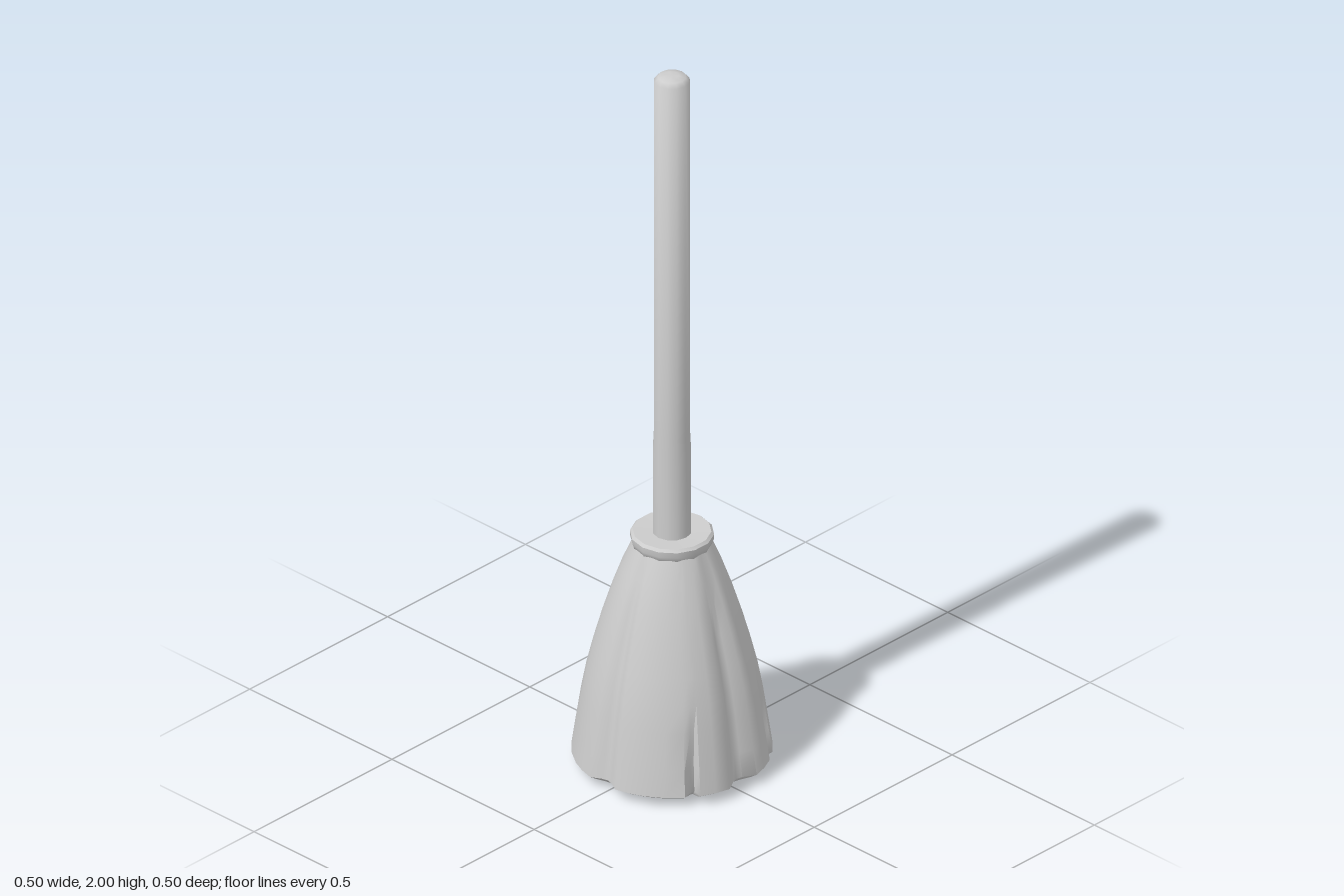
import * as THREE from 'three';
import { toCreasedNormals } from 'three/addons/utils/BufferGeometryUtils.js';

const grey = new THREE.MeshStandardMaterial({ color: 0xcccccc });
grey.name = 'light grey';

function part(name, geometry, crease = 0.8) {
  const mesh = new THREE.Mesh(toCreasedNormals(geometry, crease), grey);
  mesh.name = name;
  return mesh;
}

function lathe(points, sides) {
  return new THREE.LatheGeometry(points.map(([r, y]) => new THREE.Vector2(r, y)), sides);
}

// One quarter of the bristle outline: angle, depth of long groove, depth of short slit
const quarter = [
  [0, 0.11, 0], [4, 0.09, 0], [11, 0, 0], [20, 0, 0], [29.5, 0, 0], [31.5, 0, 0.11],
  [34, 0, 0.09], [38.5, 0, 0], [50, 0, 0], [62, 0, 0], [71, 0, 0], [80, 0, 0], [86, 0.07, 0],
];

// The quarter mirrored into a full turn
function outline() {
  const half = [
    ...quarter,
    [90, 0.09, 0],
    ...quarter.map(([a, g, s]) => [180 - a, g, s]).reverse(),
  ];
  const back = half.slice(1, -1).map(([a, g, s]) => [360 - a, g, s]).reverse();
  return [...half, ...back];
}

// Surface from rings of [radius, height, groove amount, slit amount], first ring lowest
function pleated(rings) {
  const around = outline();
  const n = around.length;
  const positions = [];
  const index = [];
  for (const [radius, y, groove, slit] of rings) {
    for (const [deg, g, s] of around) {
      const a = THREE.MathUtils.degToRad(deg);
      const r = radius * (1 - g * groove - s * slit);
      positions.push(r * Math.cos(a), y, -r * Math.sin(a));
    }
  }
  for (let j = 0; j < rings.length - 1; j++) {
    for (let i = 0; i < n; i++) {
      const a = j * n + i;
      const b = j * n + (i + 1) % n;
      index.push(a, b, b + n, a, b + n, a + n);
    }
  }
  const geometry = new THREE.BufferGeometry();
  geometry.setAttribute('position', new THREE.Float32BufferAttribute(positions, 3));
  geometry.setIndex(index);
  return geometry;
}

export function createModel() {
  const broom = new THREE.Group();
  broom.name = 'broom';

  // Flared bristle head with grooves that fade towards the collar
  broom.add(part('bristles', pleated([
    [0.19, 0.004, 0, 0],
    [0.235, 0.017, 0.7, 0.7],
    [0.255, 0.03, 1, 1],
    [0.245, 0.1, 1, 0.9],
    [0.23, 0.2, 1, 0.35],
    [0.217, 0.27, 1, 0],
    [0.2, 0.34, 1, 0],
    [0.178, 0.42, 1, 0],
    [0.153, 0.5, 0.9, 0],
    [0.128, 0.57, 0.6, 0],
    [0.1, 0.635, 0, 0],
  ])));

  // Flat underside
  broom.add(part('bristleBase', lathe([[0, 0.008], [0.182, 0.008], [0.185, 0], [0.192, 0.005]], 24), 0.5));

  // Binding ring
  broom.add(part('collar', lathe([
    [0.09, 0.622], [0.101, 0.63], [0.106, 0.645], [0.107, 0.66], [0.1, 0.667], [0.045, 0.664],
  ], 14)));

  // Round stick, slightly thicker at the foot, with a domed tip
  broom.add(part('handle', lathe([
    [0.05, 0.64], [0.05, 0.9], [0.0475, 0.95], [0.0465, 1.985], [0.036, 1.996], [0.018, 2], [0, 2],
  ], 12), 1.1));

  return broom;
}
